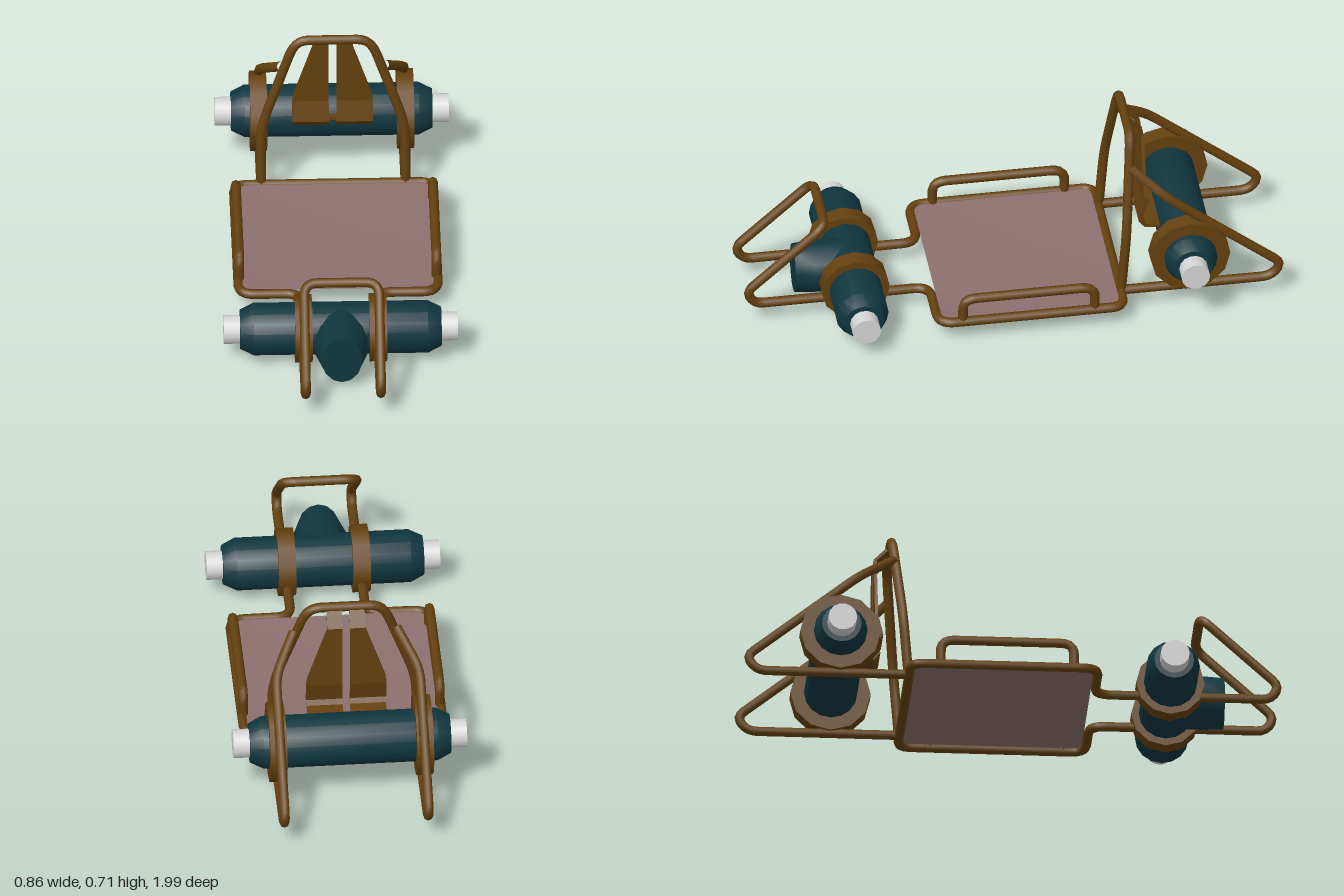
import * as THREE from 'three';
import { toCreasedNormals } from 'three/addons/utils/BufferGeometryUtils.js';

const mat = (name, color) => {
  const m = new THREE.MeshStandardMaterial({ color });
  m.name = name;
  return m;
};

export function createModel() {
  const model = new THREE.Group();
  model.name = 'sled';
  const brown = mat('brown frame', 0x65410f);
  const teal = mat('dark teal', 0x10363f);
  const grey = mat('light grey', 0xd6d6d6);
  const mauve = mat('mauve fabric', 0x8c706e);
  mauve.side = THREE.DoubleSide;
  const R = 0.018;

  const add = (name, geometry, material, parent = model) => {
    const mesh = new THREE.Mesh(geometry, material);
    mesh.name = name;
    parent.add(mesh);
    return mesh;
  };

  // Bent pipe through corner points [x, y, z, bendSize]
  const pipe = (name, corners, closed = false) => {
    const pts = corners.map(c => new THREE.Vector3(c[0], c[1], c[2]));
    const n = pts.length;
    const path = new THREE.CurvePath();
    let last = pts[0];
    for (let i = 1; i < (closed ? n : n - 1); i++) {
      const p = pts[i], next = pts[(i + 1) % n];
      const toward = q => p.clone().add(q.clone().sub(p).setLength(
        Math.min(corners[i][3] ?? 0.05, q.distanceTo(p) * 0.45)));
      const a = toward(pts[i - 1]), b = toward(next);
      path.add(new THREE.LineCurve3(last, a));
      path.add(new THREE.QuadraticBezierCurve3(a, p, b));
      last = b;
    }
    path.add(new THREE.LineCurve3(last, closed ? pts[0] : pts[n - 1]));
    path.arcLengthDivisions = 400;
    const steps = Math.ceil(path.getLength() * 60);
    return add(name, new THREE.TubeGeometry(path, steps, R, 8, closed), brown);
  };
  const flip = list => list.map(([x, ...rest]) => [-x, ...rest]).reverse();

  // Chassis: one closed pipe from the front hoop round the seat
  const half = [
    [0.138, 0.408, 0.693, 0.05],
    [0.138, 0.14, 0.985, 0.035],
    [0.138, 0.084, 0.955, 0.035],
    [0.138, 0.084, 0.305, 0.06],
    [0.366, 0.084, 0.305, 0.06],
    [0.366, 0.084, -0.385, 0.05],
  ];
  pipe('chassisFrame', [[0, 0.408, 0.693], ...half, [0, 0.084, -0.385], ...flip(half)], true);

  // Backrest hoop
  const leg = [
    [0.265, 0.084, -0.388],
    [0.265, 0.33, -0.408, 0.08],
    [0.15, 0.66, -0.438, 0.04],
    [0.115, 0.692, -0.441, 0.03],
  ];
  pipe('backrestHoop', [...leg, ...flip(leg)]);

  for (const s of [1, -1]) {
    // Rear triangle brace
    pipe('rearBrace', [
      [s * 0.265, 0.084, -0.385],
      [s * 0.265, 0.084, -0.945, 0.04],
      [s * 0.265, 0.14, -0.985, 0.035],
      [s * 0.265, 0.48, -0.565, 0.05],
      [s * 0.19, 0.58, -0.435],
    ]);
    // Side handrail
    pipe('sideRail', [
      [s * 0.362, 0.084, 0.215],
      [s * 0.362, 0.183, 0.215, 0.05],
      [s * 0.362, 0.183, -0.275, 0.05],
      [s * 0.362, 0.084, -0.275],
    ]);
  }

  // Thruster: tapered body, end caps and clamp bands along x
  const thruster = (name, y, z, bandX, bandW, bandR) => {
    const g = new THREE.Group();
    g.name = name;
    g.position.set(0, y, z);
    model.add(g);
    const profile = [[0, -0.37], [0.073, -0.37], [0.098, -0.32], [0.098, 0.32], [0.073, 0.37], [0, 0.37]]
      .map(p => new THREE.Vector2(...p));
    const body = toCreasedNormals(new THREE.LatheGeometry(profile, 16), 0.5);
    add('thrusterBody', body.rotateZ(Math.PI / 2), teal, g);
    for (const s of [1, -1]) {
      const cap = new THREE.CylinderGeometry(0.053, 0.053, 0.08, 14).rotateZ(Math.PI / 2);
      add('endCap', cap, grey, g).position.x = s * 0.39;
      const band = new THREE.CylinderGeometry(bandR, bandR, bandW, 12).rotateZ(Math.PI / 2);
      add('clampBand', band, brown, g).position.x = s * bandX;
    }
    return g;
  };
  const front = thruster('frontThruster', 0.126, 0.583, 0.137, 0.064, 0.126);
  thruster('rearThruster', 0.235, -0.64, 0.27, 0.062, 0.148);

  // Nose boss, narrowing sideways toward its tip
  const nose = new THREE.CylinderGeometry(0.098, 0.098, 0.207, 14, 3).rotateX(Math.PI / 2);
  const np = nose.attributes.position;
  for (let i = 0; i < np.count; i++) if (np.getZ(i) > 0.1) np.setX(i, np.getX(i) * 0.76);
  nose.computeVertexNormals();
  add('noseBoss', nose, teal, front).position.z = 0.1035;

  // Seat: shallow sagging fabric
  const seat = new THREE.BufferGeometry();
  seat.setAttribute('position', new THREE.Float32BufferAttribute([
    -0.352, 0.092, -0.374, 0.352, 0.092, -0.374,
    0.352, 0.092, 0.29, -0.352, 0.092, 0.29, 0, 0.068, -0.04], 3));
  seat.setIndex([0, 4, 1, 1, 4, 2, 2, 4, 3, 3, 4, 0]);
  seat.computeVertexNormals();
  add('seatFabric', seat, mauve);

  // Backrest slats: rows of [z, y, outer x] lofted into a bent plate
  const rows = [[-0.442, 0.69, 0.07], [-0.497, 0.635, 0.07], [-0.497, 0.41, 0.144], [-0.497, 0.38, 0.148],
    [-0.478, 0.3, 0.148], [-0.495, 0.278, 0.146], [-0.56, 0.268, 0.145]];
  const pos = [], idx = [];
  rows.forEach(([z, y, outer], i) => {
    const a = rows[Math.max(i - 1, 0)], b = rows[Math.min(i + 1, rows.length - 1)];
    const n = new THREE.Vector2(a[1] - b[1], b[0] - a[0]).setLength(0.006);
    for (const [x, s] of [[0.014, 1], [outer, 1], [outer, -1], [0.014, -1]]) {
      pos.push(x, y + s * n.y, z + s * n.x);
    }
    if (i) for (let k = 0; k < 4; k++) {
      const q = (k + 1) % 4, u = (i - 1) * 4, v = i * 4;
      idx.push(u + k, v + k, v + q, u + k, v + q, u + q);
    }
  });
  const e = (rows.length - 1) * 4;
  idx.push(0, 1, 2, 0, 2, 3, e, e + 2, e + 1, e, e + 3, e + 2);
  const indexed = new THREE.BufferGeometry();
  indexed.setAttribute('position', new THREE.Float32BufferAttribute(pos, 3));
  indexed.setIndex(idx);
  const slat = indexed.toNonIndexed();
  slat.computeVertexNormals();
  for (const s of [1, -1]) add('backrestSlat', slat, brown).scale.x = s;
  add('slatBridge', new THREE.BoxGeometry(0.032, 0.013, 0.026), brown).position.set(0, 0.27, -0.547);

  return model;
}
